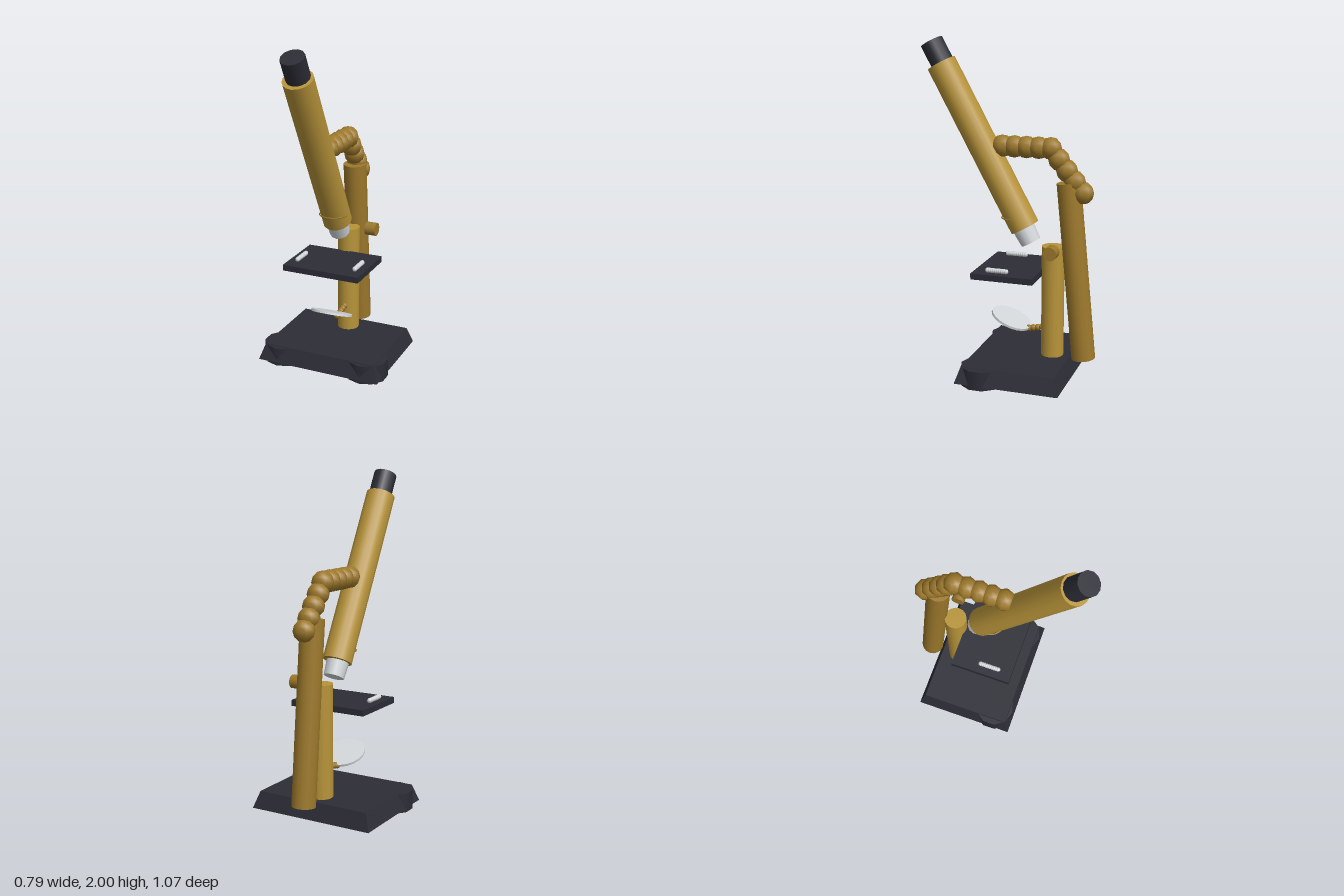
import * as THREE from 'three';

const material = (name, color, extra = {}) => {
  const m = new THREE.MeshStandardMaterial({ color, ...extra });
  m.name = name;
  return m;
};

export function createModel() {
  const brass = material('brass', 0xb8943a);
  const darkBrass = material('dark brass', 0x9c782b);
  const black = material('black enamel', 0x2c2d36);
  const silver = material('silver', 0xd2d6d9);

  const model = new THREE.Group();
  model.name = 'microscope';

  const add = (name, geometry, mat, x = 0, y = 0, z = 0) => {
    const mesh = new THREE.Mesh(geometry, mat);
    mesh.name = name;
    mesh.position.set(x, y, z);
    model.add(mesh);
    return mesh;
  };

  // Cylinder between two points of the middle plane, given as [y, z]
  const rod = (name, bottom, top, rBottom, rTop, sides, mat) => {
    const a = new THREE.Vector3(0, ...bottom);
    const b = new THREE.Vector3(0, ...top);
    const dir = b.clone().sub(a);
    const mesh = add(name, new THREE.CylinderGeometry(rTop, rBottom, dir.length(), sides), mat);
    mesh.position.copy(a).add(b).multiplyScalar(0.5);
    mesh.quaternion.setFromUnitVectors(new THREE.Vector3(0, 1, 0), dir.normalize());
    return mesh;
  };

  // Row of overlapping beads from a to b, both ends included
  const beads = (name, a, b, count, radius, mat, first = 0) => {
    const group = new THREE.Group();
    group.name = name;
    const geometry = new THREE.SphereGeometry(radius, 8, 6);
    for (let i = first; i < count; i++) {
      const bead = new THREE.Mesh(geometry, mat);
      bead.name = name + 'Bead';
      bead.position.set(...a).lerp(new THREE.Vector3(...b), i / (count - 1));
      group.add(bead);
    }
    model.add(group);
  };

  // Base with sloping sides
  const baseGeometry = new THREE.BoxGeometry(0.784, 0.1, 0.626).toNonIndexed();
  const p = baseGeometry.attributes.position;
  for (let i = 0; i < p.count; i++) {
    if (p.getY(i) > 0) p.setXYZ(i, p.getX(i) * 0.914, p.getY(i), p.getZ(i) * 0.896);
  }
  baseGeometry.computeVertexNormals();
  add('base', baseGeometry, black, 0, 0.073, -0.1);

  // Feet, clips on the stage
  for (const s of [-1, 1]) {
    add('foot', new THREE.CylinderGeometry(0.127, 0.127, 0.115, 10), black, s * 0.275, 0.0575, 0.08);
    beads('stageClip', [s * 0.187, 0.669, -0.04], [s * 0.187, 0.669, 0.073], 10, 0.015, silver);
  }

  // Pillar, rear arm and focus knob
  rod('pillar', [0.11, -0.27], [0.795, -0.27], 0.068, 0.068, 16, brass);
  rod('rearArm', [0.12, -0.463], [1.18, -0.358], 0.071, 0.071, 16, darkBrass);
  const knob = add('focusKnob', new THREE.CylinderGeometry(0.041, 0.041, 0.068, 12), darkBrass, 0.142, 0.793, -0.297);
  knob.rotation.z = Math.PI / 2;

  // Curved limb joining the arm to the tube
  beads('upperLimb', [0, 1.373, 0.044], [0, 1.373, -0.25], 5, 0.066, darkBrass);
  beads('lowerLimb', [0, 1.373, -0.25], [0, 1.125, -0.442], 5, 0.066, darkBrass, 1);

  // Stage
  add('stage', new THREE.BoxGeometry(0.486, 0.036, 0.374), black, 0, 0.638, -0.027);

  // Mirror and its bracket
  const mirror = add('mirror', new THREE.CylinderGeometry(0.127, 0.127, 0.014, 20), silver, 0, 0.319, -0.012);
  mirror.rotation.x = -0.4;
  beads('mirrorBracket', [0, 0.263, -0.095], [0, 0.286, -0.205], 5, 0.02, darkBrass);

  // Optical tube with eyepiece, objective and collar
  rod('tube', [0.894, -0.095], [1.84, 0.42], 0.088, 0.088, 16, brass);
  rod('eyepiece', [1.8, 0.398], [1.967, 0.474], 0.069, 0.069, 12, black)
    .quaternion.copy(model.getObjectByName('tube').quaternion);
  rod('objective', [0.804, -0.127], [0.92, -0.078], 0.061, 0.069, 12, silver)
    .quaternion.copy(model.getObjectByName('tube').quaternion);
  const collar = add('collar', new THREE.TorusGeometry(0.083, 0.004, 6, 20), darkBrass, 0, 0.95, -0.038);
  collar.rotation.x = Math.PI / 2;

  return model;
}
